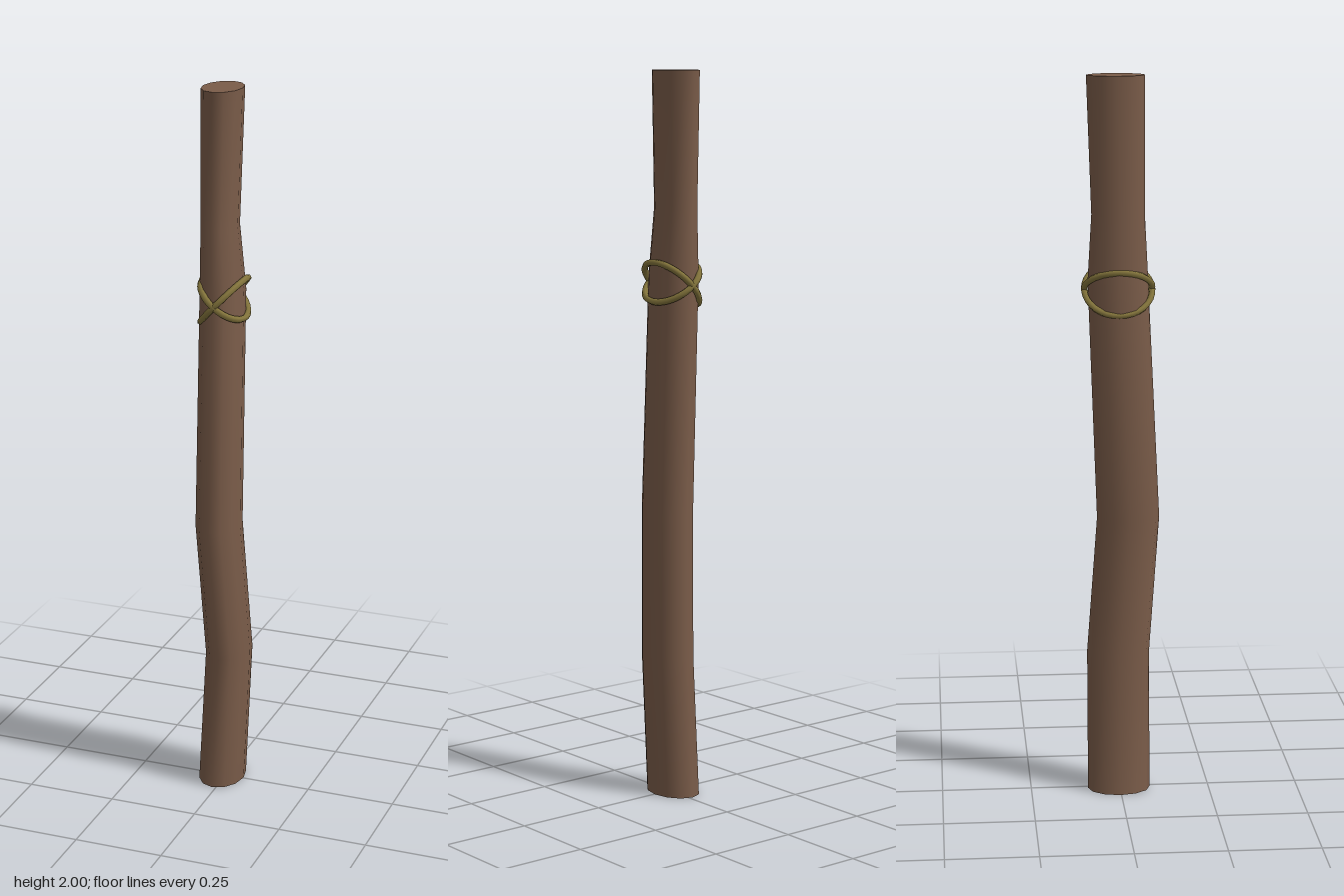
import * as THREE from 'three';
import { toCreasedNormals } from 'three/addons/utils/BufferGeometryUtils.js';

// Cross-sections of the shaft: height, x min, x max, z min, z max
const SECTIONS = [
  [0, -0.075, 0.053, -0.09, 0.084],
  [0.4, -0.053, 0.071, -0.09, 0.084],
  [0.79, -0.073, 0.05, -0.063, 0.109],
  [1.45, -0.07, 0.049, -0.087, 0.077],
  [1.63, -0.067, 0.031, -0.077, 0.067],
  [2, -0.068, 0.042, -0.09, 0.067],
];

// Bent oval shaft: a unit cylinder whose rings are fitted to the sections
function shaftGeometry() {
  const steps = SECTIONS.length - 1;
  const geo = new THREE.CylinderGeometry(1, 1, 1, 12, steps);
  const pos = geo.attributes.position;
  for (let i = 0; i < pos.count; i++) {
    const [y, x0, x1, z0, z1] = SECTIONS[Math.round((pos.getY(i) + 0.5) * steps)];
    pos.setXYZ(
      i,
      (x0 + x1) / 2 + pos.getX(i) * (x1 - x0) / 2,
      y,
      (z0 + z1) / 2 + pos.getZ(i) * (z1 - z0) / 2
    );
  }
  return toCreasedNormals(geo, 1);
}

// Slanted oval loop of cord; rise is the height gained towards +x
function cordGeometry(y, rise) {
  const points = [];
  for (let i = 0; i < 16; i++) {
    const a = (i / 16) * Math.PI * 2;
    points.push(new THREE.Vector3(
      -0.006 + 0.059 * Math.cos(a),
      y + rise * Math.cos(a),
      -0.004 + 0.092 * Math.sin(a)
    ));
  }
  return new THREE.TubeGeometry(new THREE.CatmullRomCurve3(points, true), 32, 0.009, 6, true);
}

export function createModel() {
  const model = new THREE.Group();
  model.name = 'woodenStaff';
  const wood = new THREE.MeshStandardMaterial({ color: 0x7a5c49 });
  const cord = new THREE.MeshStandardMaterial({ color: 0x84753c });

  const add = (name, geometry, material) => {
    const mesh = new THREE.Mesh(geometry, material);
    mesh.name = name;
    model.add(mesh);
  };

  add('shaft', shaftGeometry(), wood);
  // Two loops crossing at front and back
  add('risingCord', cordGeometry(1.424, 0.063), cord);
  add('fallingCord', cordGeometry(1.429, -0.049), cord);
  return model;
}
